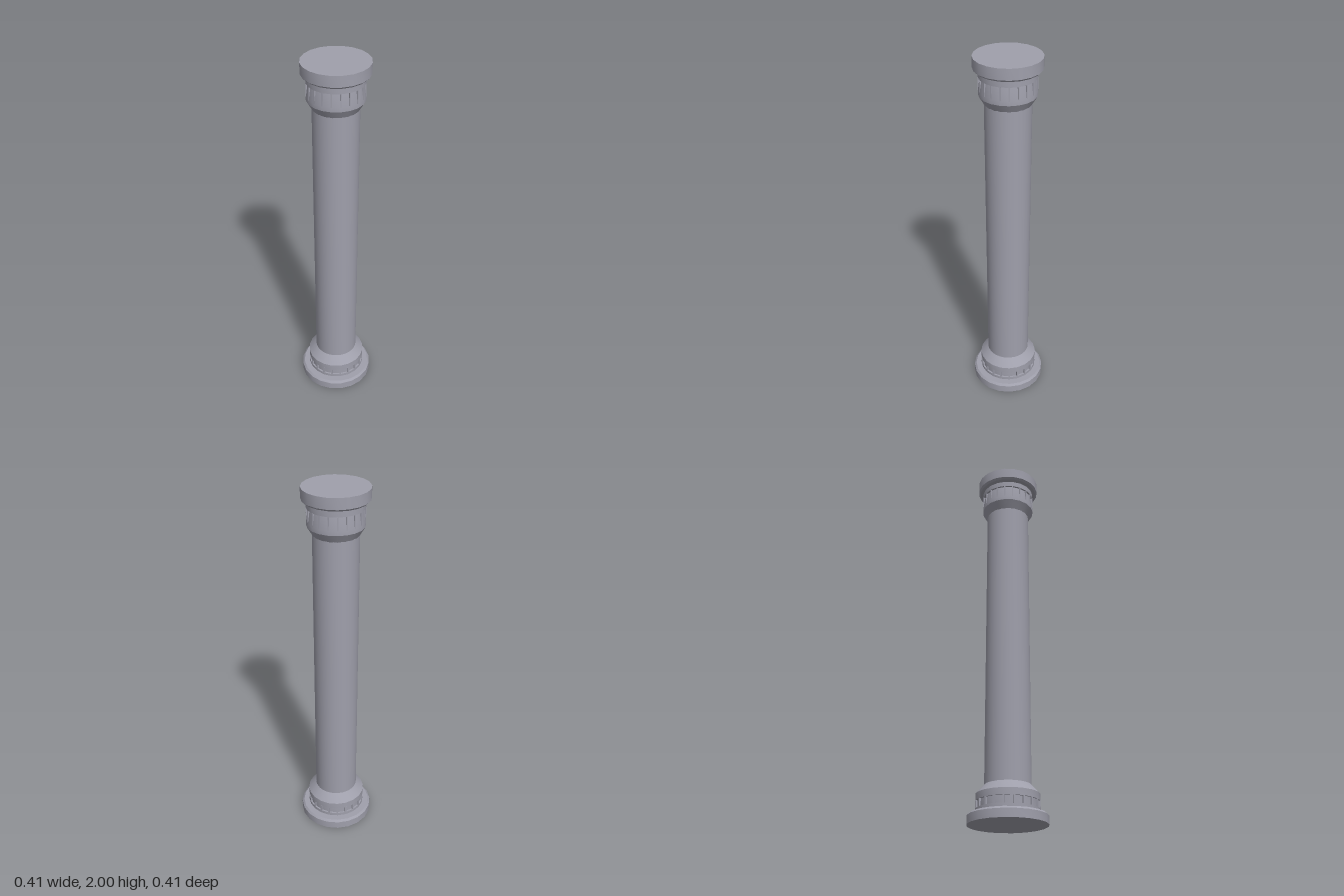
import * as THREE from 'three';
import { toCreasedNormals } from 'three/addons/utils/BufferGeometryUtils.js';

const SIDES = 20;
const material = new THREE.MeshStandardMaterial({ color: 0x9f9fab });

// Turned solid from [radius, height] pairs listed bottom to top
function turned(name, profile, sides = SIDES) {
  const points = profile.map(([r, y]) => new THREE.Vector2(r, y));
  const geometry = toCreasedNormals(new THREE.LatheGeometry(points, sides), 0.5);
  const mesh = new THREE.Mesh(geometry, material);
  mesh.name = name;
  return mesh;
}

// Ring of upright ribs standing on the corners of a recessed band
function ribs(name, radius, depth, width, bottom, top) {
  const group = new THREE.Group();
  group.name = name;
  const geometry = new THREE.BoxGeometry(width, top - bottom, depth);
  for (let i = 0; i < SIDES; i++) {
    const a = (i / SIDES) * Math.PI * 2;
    const rib = new THREE.Mesh(geometry, material);
    rib.name = 'rib';
    const r = radius - depth / 2;
    rib.position.set(Math.sin(a) * r, (bottom + top) / 2, Math.cos(a) * r);
    rib.rotation.y = a;
    group.add(rib);
  }
  return group;
}

export function createModel() {
  const column = new THREE.Group();
  column.name = 'column';

  // Round plinth with bevelled rim
  column.add(turned('plinth', [
    [0, 0], [0.203, 0], [0.203, 0.043], [0.192, 0.054], [0, 0.054],
  ]));

  // Base: recessed band between two rings, sloping in to the shaft
  column.add(turned('base', [
    [0.147, 0.05], [0.147, 0.06], [0.161, 0.06], [0.161, 0.077],
    [0.152, 0.077], [0.152, 0.115], [0.161, 0.115], [0.161, 0.15],
    [0.119, 0.195], [0, 0.195],
  ]));
  column.add(ribs('baseRibs', 0.161, 0.02, 0.009, 0.075, 0.117));

  // Plain shaft, rounder than the mouldings
  column.add(turned('shaft', [[0.118, 0.19], [0.118, 1.78]], 32));

  // Capital: flares out, then leans in to a recess under the upper ring
  column.add(turned('capital', [
    [0.118, 1.763], [0.127, 1.778], [0.145, 1.807], [0.145, 1.83],
    [0.135, 1.898], [0.145, 1.898], [0.145, 1.927],
    [0.137, 1.927], [0.137, 1.94],
  ]));
  column.add(ribs('capitalRibs', 0.145, 0.02, 0.006, 1.83, 1.9));

  // Flat round top slab, bevelled underneath
  column.add(turned('topSlab', [
    [0, 1.933], [0.161, 1.933], [0.171, 1.943], [0.171, 2], [0, 2],
  ]));

  return column;
}
